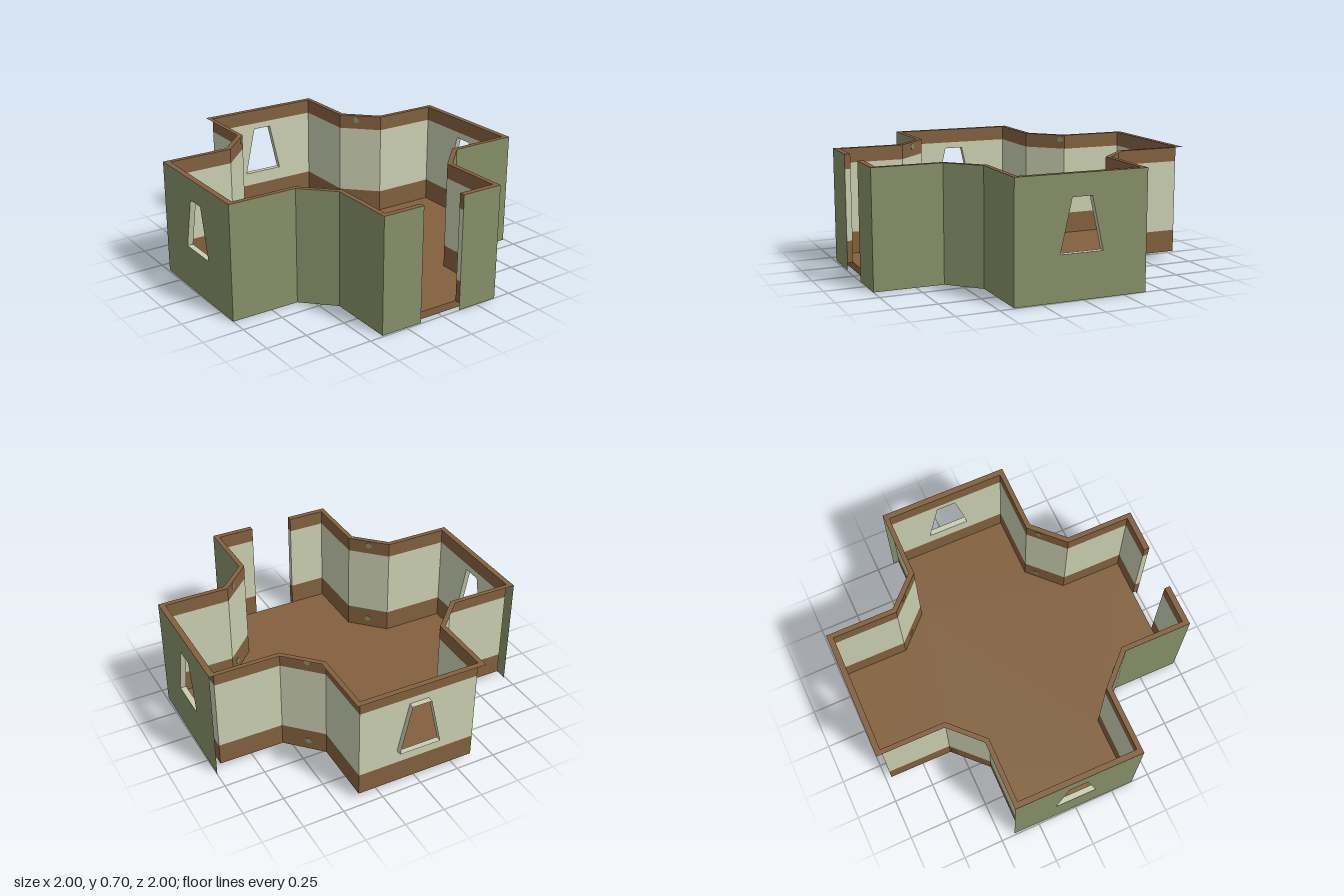
import * as THREE from 'three';

const mat = (name, color) => {
  const m = new THREE.MeshStandardMaterial({ color, side: THREE.DoubleSide });
  m.name = name;
  return m;
};

// Cross-shaped outline with chamfered inner corners; four points per arm,
// starting with the front arm and turning towards +x
function crossOutline(half, end, joint) {
  const points = [];
  for (let k = 0; k < 4; k++) {
    for (let [x, z] of [[-half, joint], [-half, end], [half, end], [half, joint]]) {
      for (let i = 0; i < k; i++) [x, z] = [z, -x];
      points.push(new THREE.Vector2(x, z));
    }
  }
  return points;
}

export function createModel() {
  const green = mat('outer green', 0x868f68);
  const cream = mat('plaster cream', 0xc8ceaf);
  const brown = mat('earth brown', 0x82603e);

  const model = new THREE.Group();
  const room = new THREE.Group();
  room.name = 'crossRoom';
  room.rotation.y = -0.012;
  model.add(room);

  const TOP = 0.705, FLOOR = 0.045, LOW = 0.18, HIGH = 0.615;
  const E = 0.995, EI = 0.96, DOOR = 0.1375;
  const outer = crossOutline(0.4, E, 0.575);
  const inner = crossOutline(0.37, EI, 0.562);
  const windowCorners = [[-0.13, 0.265], [0.13, 0.265], [0.06, 0.575], [-0.06, 0.575]];
  const V = (x, z) => new THREE.Vector2(x, z);

  function add(name, geometry, material, parent = room) {
    const mesh = new THREE.Mesh(geometry, material);
    mesh.name = name;
    parent.add(mesh);
    return mesh;
  }

  // Upright panel between two plan points, optionally with a window hole
  function panel(name, a, b, y0, y1, material, hasWindow = false) {
    const w = a.distanceTo(b) / 2;
    const shape = new THREE.Shape([V(-w, y0), V(w, y0), V(w, y1), V(-w, y1)]);
    if (hasWindow) shape.holes.push(new THREE.Path(windowCorners.map(([x, y]) => V(x, y))));
    const mesh = add(name, new THREE.ShapeGeometry(shape), material);
    mesh.position.set((a.x + b.x) / 2, 0, (a.y + b.y) / 2);
    mesh.rotation.y = Math.atan2(a.y - b.y, b.x - a.x);
  }

  // Inner wall in three horizontal bands
  function bandedWall(name, a, b, hasWindow) {
    panel(name + 'LowerBand', a, b, FLOOR, LOW, brown);
    panel(name + 'Plaster', a, b, LOW, HIGH, cream, hasWindow);
    panel(name + 'UpperBand', a, b, HIGH, TOP, brown);
  }

  // Flat horizontal face from plan points
  function flat(name, points, y, material) {
    const shape = new THREE.Shape(points.map(p => V(p.x, -p.y)));
    add(name, new THREE.ShapeGeometry(shape).rotateX(-Math.PI / 2), material).position.y = y;
  }

  // Walls: the outer skin is left off around the back arm
  for (let i = 0; i < 16; i++) {
    const j = (i + 1) % 16;
    const hasSkin = i <= 5 || i >= 13;
    const hasWindow = i % 4 === 1;
    if (i === 1) {
      panel('frontSkinRight', outer[1], V(-DOOR, E), 0, TOP, green);
      panel('frontSkinLeft', V(DOOR, E), outer[2], 0, TOP, green);
      bandedWall('frontWallRight', inner[1], V(-DOOR, EI), false);
      bandedWall('frontWallLeft', V(DOOR, EI), inner[2], false);
      continue;
    }
    if (hasSkin) panel('outerSkin', outer[i], outer[j], 0, TOP, green, hasWindow);
    bandedWall('innerWall', inner[i], inner[j], hasWindow);
  }

  // Doorway jambs and the riser under the threshold
  for (const s of [-1, 1]) bandedWall('doorJamb', V(s * DOOR, EI), V(s * DOOR, E), false);
  panel('thresholdRiser', inner[1], inner[2], 0, FLOOR, brown);

  // Floor and the wall-top rim, open at the door
  flat('floor', inner, FLOOR, brown);
  flat('wallTopRim', [
    V(DOOR, E), ...outer.slice(2), outer[0], outer[1], V(-DOOR, E),
    V(-DOOR, EI), inner[1], inner[0], ...inner.slice(2).reverse(), V(DOOR, EI),
  ], TOP, brown);

  // Window reveals on the two side ends and the back end
  for (const k of [1, 2, 3]) {
    const pos = [];
    windowCorners.forEach(([x0, y0], i) => {
      const [x1, y1] = windowCorners[(i + 1) % 4];
      pos.push(x0, y0, EI, x1, y1, EI, x1, y1, E, x0, y0, EI, x1, y1, E, x0, y0, E);
    });
    const g = new THREE.BufferGeometry();
    g.setAttribute('position', new THREE.Float32BufferAttribute(pos, 3));
    g.computeVertexNormals();
    add('windowReveal', g, cream).rotation.y = k * Math.PI / 2;
  }

  // Small worn patches on the brown bands: [wall segment, position along it]
  for (const [seg, t] of [[3, 0.7], [7, 0.6], [11, 0.1], [15, 0.5]]) {
    const a = inner[seg], b = inner[(seg + 1) % 16];
    for (const y of [0.675, 0.105]) {
      const p = a.clone().lerp(b, t);
      const patch = add('wornPatch', new THREE.CylinderGeometry(0.021, 0.021, 0.006, 6).rotateX(Math.PI / 2), green);
      patch.position.set(p.x, y, p.y);
      patch.rotation.y = Math.atan2(a.y - b.y, b.x - a.x);
    }
  }
  return model;
}
